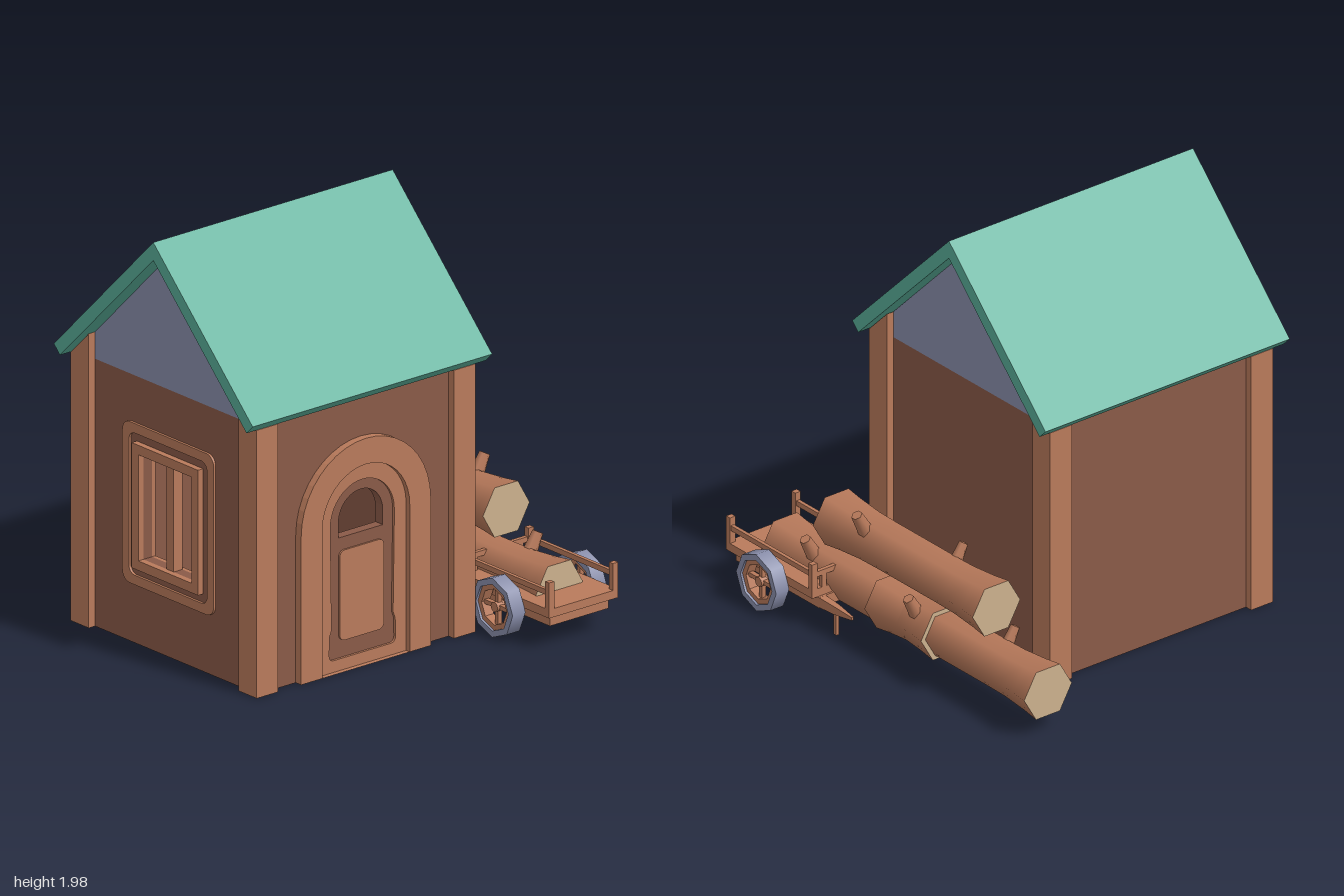
import * as THREE from 'three';

const mat = (name, color, side = THREE.FrontSide) => {
  const m = new THREE.MeshStandardMaterial({ color, side });
  m.name = name;
  return m;
};

export function createModel() {
  const wood = mat('wood', 0xb97a5b);
  const darkWood = mat('dark wood', 0x8a5a48);
  const green = mat('roof green', 0x5aae99);
  const steel = mat('grey blue', 0x8a8fac, THREE.DoubleSide);
  const tan = mat('cut wood', 0xcbb08d);

  const root = new THREE.Group();
  root.name = 'cottageWithLogCart';
  const group = (name, parent, x = 0, y = 0, z = 0) => {
    const g = new THREE.Group();
    g.name = name;
    g.position.set(x, y, z);
    parent.add(g);
    return g;
  };
  const add = (parent, name, geo, material, x = 0, y = 0, z = 0) => {
    const m = new THREE.Mesh(geo, material);
    m.name = name;
    m.position.set(x, y, z);
    parent.add(m);
    return m;
  };
  // box given by its minimum and maximum corners
  const box = (p, name, m, x0, x1, y0, y1, z0, z1) =>
    add(p, name, new THREE.BoxGeometry(x1 - x0, y1 - y0, z1 - z0), m, (x0 + x1) / 2, (y0 + y1) / 2, (z0 + z1) / 2);

  // outlines
  const poly = (pts) => new THREE.Shape(pts.map(([x, y]) => new THREE.Vector2(x, y)));
  const rect = (hw, y0, y1) => poly([[-hw, y0], [hw, y0], [hw, y1], [-hw, y1]]);
  const arch = (hw, y0, spring) => {
    const s = new THREE.Shape();
    s.moveTo(-hw, y0);
    s.lineTo(hw, y0);
    s.lineTo(hw, spring);
    s.absarc(0, spring, hw, 0, Math.PI, false);
    s.closePath();
    return s;
  };
  const rounded = (hw, y0, y1, r) => {
    const s = new THREE.Shape();
    s.absarc(hw - r, y0 + r, r, -Math.PI / 2, 0, false);
    s.absarc(hw - r, y1 - r, r, 0, Math.PI / 2, false);
    s.absarc(-hw + r, y1 - r, r, Math.PI / 2, Math.PI, false);
    s.absarc(-hw + r, y0 + r, r, Math.PI, Math.PI * 1.5, false);
    s.closePath();
    return s;
  };
  const extrude = (shape, depth, ...holes) => {
    const s = shape.clone();
    s.holes.push(...holes);
    return new THREE.ExtrudeGeometry(s, { depth, bevelEnabled: false, curveSegments: 10 });
  };
  const sideways = (shape, depth, ...holes) => extrude(shape, depth, ...holes).rotateY(Math.PI / 2);

  // ---------- house ----------
  const house = group('house', root, -0.25, 0, -0.035);
  const W = 0.595, I = 0.545; // outer and inner wall planes
  const apex = 1.895;

  // roof
  add(house, 'roof', sideways(poly([
    [-0.675, 1.307], [-0.633, 1.265], [0, apex], [0.633, 1.265], [0.675, 1.307], [0, 1.98],
  ]), 1.385), green, -0.692);

  // corner posts with tops cut to the roof slope
  for (const sx of [-1, 1]) for (const sz of [-1, 1]) {
    const a = -sz * 0.508, b = -sz * 0.632;
    add(house, 'cornerPost', sideways(poly([
      [a, 0], [b, 0], [b, apex - 0.632], [a, apex - 0.508],
    ]), 0.124), wood, sx > 0 ? 0.508 : -0.632);
  }

  // walls
  const doorLight = () => arch(0.128, 0.62, 0.692);
  add(house, 'frontWall', extrude(rect(W, 0, 1.3), W - I, doorLight()), darkWood, 0, 0, I);
  box(house, 'backWall', darkWood, -W, W, 0, 1.3, -W, -I);
  const opening = () => rect(0.18, 0.41, 0.91);
  add(house, 'leftWall', sideways(rect(I, 0, 1.26), W - I), darkWood, I);
  add(house, 'rightWall', sideways(rect(I, 0, 1.26), W - I, opening()), darkWood, -W);
  const gable = poly([[-W, 1.26], [W, 1.26], [W, apex - W], [0, apex], [-W, apex - W]]);
  for (const x of [I, -W]) add(house, 'gable', sideways(gable, W - I), steel, x);

  // door: raised plate around a dark recess, with a panel and an arched light
  const door = group('door', house);
  const recess = () => {
    const s = new THREE.Shape();
    s.moveTo(-0.17, 0.055);
    s.lineTo(0.17, 0.055);
    s.quadraticCurveTo(0.192, 0.06, 0.192, 0.085);
    s.lineTo(0.19, 0.17);
    s.lineTo(0.178, 0.2);
    s.lineTo(0.185, 0.64);
    s.absarc(0, 0.685, 0.185, 0, Math.PI, false);
    s.lineTo(-0.178, 0.2);
    s.lineTo(-0.19, 0.17);
    s.lineTo(-0.192, 0.085);
    s.quadraticCurveTo(-0.192, 0.06, -0.17, 0.055);
    return s;
  };
  add(door, 'doorFrame', extrude(arch(0.375, 0, 0.695), 0.037, arch(0.253, 0, 0.695)), wood, 0, 0, W);
  add(door, 'doorPlate', extrude(arch(0.253, 0, 0.695), 0.012, recess()), wood, 0, 0, W);
  add(door, 'doorPanel', extrude(rounded(0.128, 0.135, 0.56, 0.03), 0.009), wood, 0, 0, W);
  add(door, 'innerDoorPanel', extrude(rounded(0.128, 0.135, 0.56, 0.03), 0.009), wood, 0, 0, I - 0.009);
  add(door, 'innerFrontLining', extrude(rect(0.508, 0, 1.26), 0.009, recess()), wood, 0, 0, I - 0.009);

  // window in the right wall
  const win = group('window', house);
  const outer = () => rounded(0.31, 0.28, 1.04, 0.05);
  add(win, 'windowSurround', sideways(outer(), 0.012, rounded(0.265, 0.325, 0.995, 0.04)), wood, -W - 0.012);
  add(win, 'windowFrame', sideways(rect(0.225, 0.365, 0.955), 0.03, opening()), wood, -W - 0.03);
  add(win, 'innerWindowFrame', sideways(rect(0.225, 0.365, 0.955), 0.02, opening()), wood, -I);
  add(win, 'innerRightLining', sideways(rect(0.508, 0, 1.26), 0.009, outer()), wood, -I);
  box(win, 'mullion', wood, -W, -I, 0.41, 0.91, -0.025, 0.025);

  // ---------- logs ----------
  const logs = group('logs', root);
  const half = 0.5575;
  const profile = [[0.135, -half], [0.124, -0.47], [0.113, -0.33], [0.111, -0.2],
    [0.111, 0.2], [0.113, 0.33], [0.124, 0.47], [0.135, half]].map(([r, y]) => new THREE.Vector2(r, y));
  const up = new THREE.Vector3(0, 1, 0);
  const makeLog = (y, z) => {
    const log = group('log', logs, 0.665, y, z);
    add(log, 'bark', new THREE.LatheGeometry(profile, 6, Math.PI / 2).rotateX(Math.PI / 2), wood);
    add(log, 'frontCut', new THREE.CircleGeometry(0.135, 6), tan, 0, 0, half);
    add(log, 'backCut', new THREE.CircleGeometry(0.135, 6).rotateY(Math.PI), tan, 0, 0, -half);
    // branch stubs
    for (const [tx, ty, z0, r] of [[0.112, 0.158, 0.28, 0.026], [-0.108, 0.145, -0.197, 0.022]]) {
      const base = new THREE.Vector3(Math.sign(tx) * 0.05, 0.045, z0);
      const dir = new THREE.Vector3(tx, ty, z0).sub(base);
      const stub = add(log, 'branchStub', new THREE.CylinderGeometry(r, r * 1.45, dir.length(), 6), wood);
      stub.position.copy(base).addScaledVector(dir, 0.5);
      stub.quaternion.setFromUnitVectors(up, dir.normalize());
    }
  };
  makeLog(0.473, -0.0825);
  makeLog(0.206, 0.2775);
  makeLog(0.206, -0.4425);

  // ---------- cart ----------
  const cart = group('cart', root, 0.665, 0, 0);
  box(cart, 'bed', wood, -0.2, 0.2, 0.16, 0.2, 0.4, 1);
  box(cart, 'underBoard', wood, -0.17, 0.17, 0.108, 0.16, 0.39, 0.97);
  box(cart, 'backRail', wood, -0.175, 0.175, 0.26, 0.285, 0.4, 0.42);
  box(cart, 'axle', wood, -0.24, 0.24, 0.13, 0.16, 0.685, 0.715);
  for (const s of [-1, 1]) {
    const part = (name, x0, x1, ...rest) =>
      box(cart, name, wood, Math.min(s * x0, s * x1), Math.max(s * x0, s * x1), ...rest);
    part('frontRailPost', 0.17, 0.2, 0.16, 0.327, 0.973, 1);
    part('backRailPost', 0.17, 0.2, 0.16, 0.327, 0.4, 0.427);
    part('sideRail', 0.177, 0.195, 0.262, 0.287, 0.42, 0.98);
    part('innerPost', 0.12, 0.145, 0.2, 0.285, 0.4, 0.42);
    part('leg', 0.128, 0.145, 0, 0.115, 0.3, 0.318);
    part('legBrace', 0.12, 0.16, 0.112, 0.13, 0.3, 0.4);

    // handle narrowing to its tip
    const handle = new THREE.BoxGeometry(0.038, 0.05, 0.22, 1, 1, 2);
    const p = handle.attributes.position;
    for (let i = 0; i < p.count; i++) {
      const k = p.getZ(i) < -0.05 ? 0.3 : p.getZ(i) < 0.05 ? 0.8 : 1;
      p.setXY(i, p.getX(i) * k, p.getY(i) * k);
    }
    handle.computeVertexNormals();
    add(cart, 'handle', handle, wood, s * 0.15, 0.135, 0.29);

    // wheel
    const wheel = group('wheel', cart, s * 0.237, 0.142, 0.7);
    const tyre = (r) => new THREE.CylinderGeometry(r, r, 0.074, 8, 1, true).rotateZ(Math.PI / 2);
    add(wheel, 'tyreTread', tyre(0.14), steel);
    add(wheel, 'tyreInside', tyre(0.11), steel);
    for (const e of [-1, 1]) {
      add(wheel, 'tyreSide', new THREE.RingGeometry(0.11, 0.14, 8).rotateY(e * Math.PI / 2), steel, e * 0.037);
    }
    const ring = (r) => new THREE.Shape(Array.from({ length: 8 }, (_, i) =>
      new THREE.Vector2(r * Math.cos(i * Math.PI / 4), r * Math.sin(i * Math.PI / 4))));
    add(wheel, 'rim', sideways(ring(0.112), 0.05, ring(0.085)), wood, -0.025);
    box(wheel, 'spokes', wood, -0.012, 0.012, -0.09, 0.09, -0.01, 0.01);
    box(wheel, 'spokes', wood, -0.012, 0.012, -0.01, 0.01, -0.09, 0.09);
    add(wheel, 'hub', new THREE.CylinderGeometry(0.024, 0.024, 0.05, 8).rotateZ(Math.PI / 2), wood);
  }
  return root;
}
